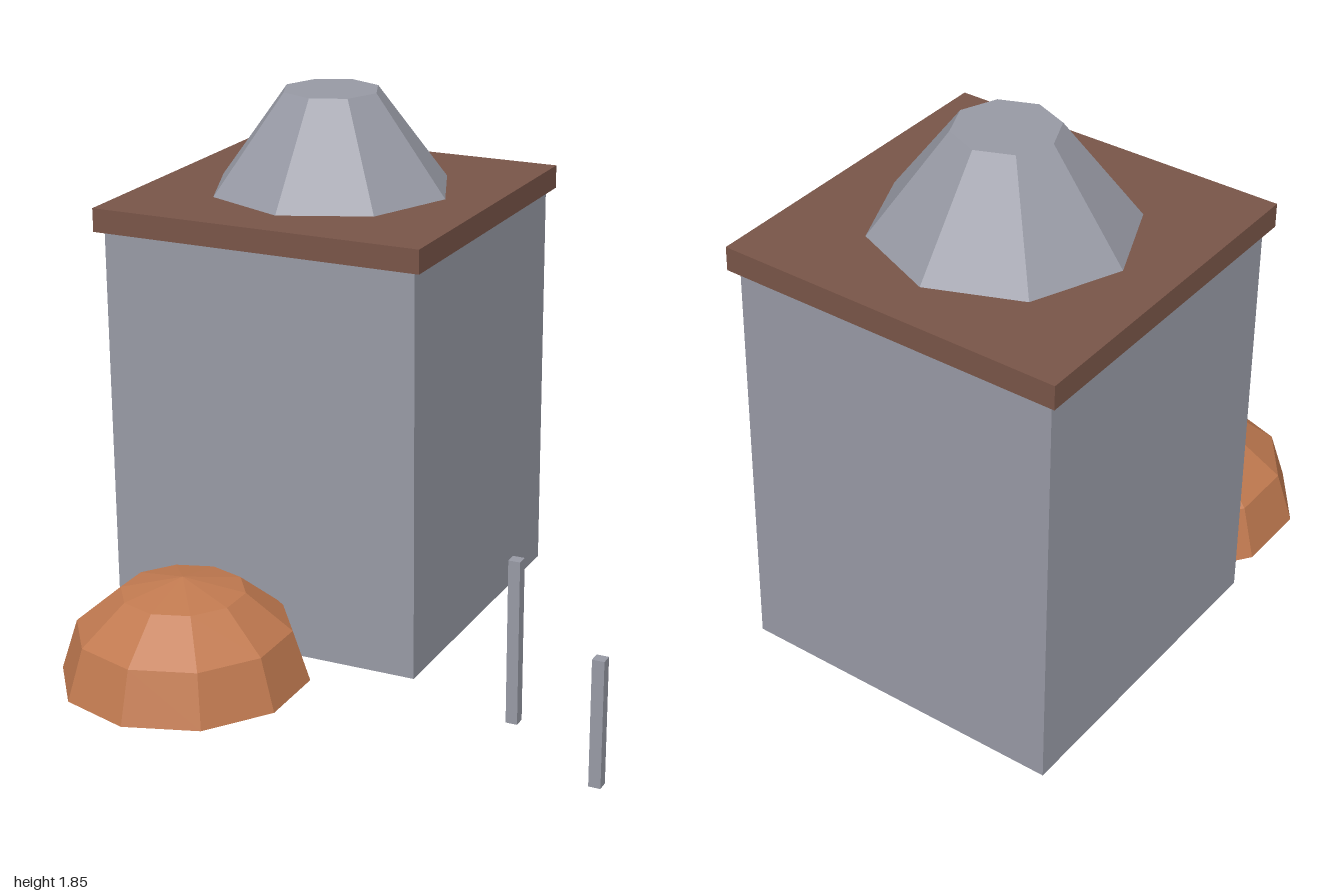
import * as THREE from 'three';

export function createModel() {
  const model = new THREE.Group();
  model.name = 'kilnHouse';

  const stone = new THREE.MeshStandardMaterial({ name: 'stoneGrey', color: 0x989aa5, flatShading: true });
  const brown = new THREE.MeshStandardMaterial({ name: 'darkBrown', color: 0x795548, flatShading: true });
  const clay = new THREE.MeshStandardMaterial({
    name: 'clayOrange', color: 0xc17a50, flatShading: true, side: THREE.DoubleSide,
  });

  const add = (name, geometry, material, x, y, z) => {
    const mesh = new THREE.Mesh(geometry, material);
    mesh.name = name;
    mesh.position.set(x, y, z);
    model.add(mesh);
    return mesh;
  };
  // Box standing on height y
  const box = (name, material, x, y, z, w, h, d) =>
    add(name, new THREE.BoxGeometry(w, h, d), material, x, y + h / 2, z);

  // Tower block with an overhanging roof slab
  const cx = -0.4, cz = -0.342;
  box('towerBody', stone, cx, 0, cz, 1.14, 1.43, 1.14);
  box('roofSlab', brown, cx, 1.428, cz, 1.195, 0.082, 1.195);

  // Eight-sided truncated cone on the roof
  add('roofCone', new THREE.CylinderGeometry(0.17, 0.426, 0.341, 8), stone, cx, 1.51 + 0.1705, cz);

  // Open-bottomed ten-sided clay dome, a corner facing the front
  const dome = new THREE.SphereGeometry(0.425, 10, 3, 0, Math.PI * 2, 0, Math.PI / 2);
  dome.rotateY(Math.PI / 2);
  dome.scale(1, 0.84, 1);
  add('ovenDome', dome, clay, -0.546, 0, 0.512);

  // Two thin free-standing posts
  const post = 0.04;
  box('tallPost', stone, 0.59, 0, 0.37, post, 0.571, post);
  box('shortPost', stone, 0.98, 0, 0.655, post, 0.43, post);

  return model;
}
